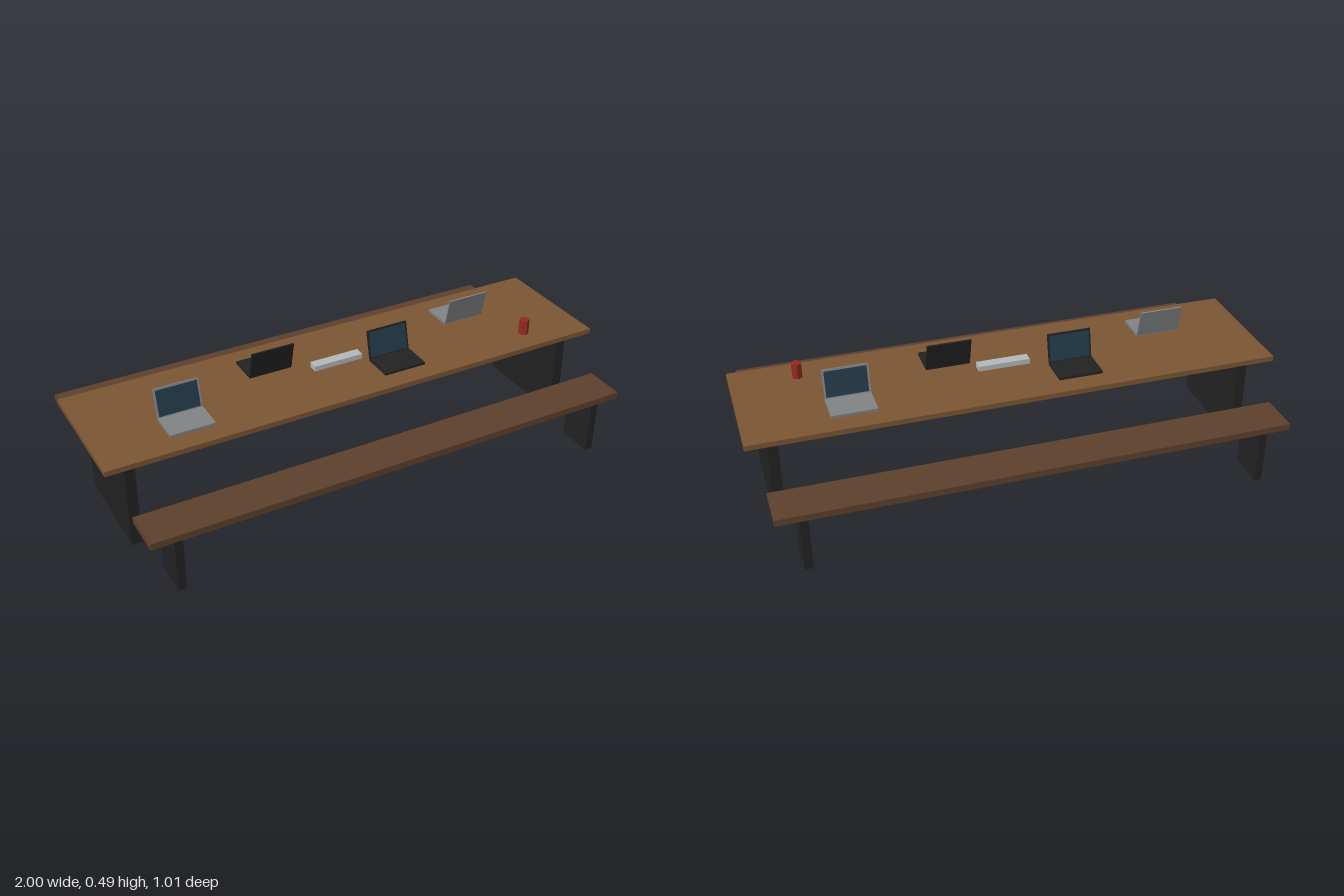
import * as THREE from 'three';

const mat = (name, color) => {
  const m = new THREE.MeshStandardMaterial({ color });
  m.name = name;
  return m;
};

export function createModel() {
  const oak = mat('oak brown', 0x7b5533);
  const walnut = mat('dark brown', 0x5c402c);
  const black = mat('black', 0x222222);
  const grey = mat('grey', 0x808285);
  const glass = mat('screen blue', 0x223a48);
  const pale = mat('pale grey', 0xb4b8ba);
  const red = mat('red', 0x972a20);

  const model = new THREE.Group();
  model.name = 'meetingTable';

  const box = (parent, name, material, size, pos) => {
    const mesh = new THREE.Mesh(new THREE.BoxGeometry(...size), material);
    mesh.name = name;
    mesh.position.set(...pos);
    parent.add(mesh);
    return mesh;
  };

  // Table with two slab legs
  box(model, 'tableTop', oak, [2, 0.02, 0.5], [0, 0.366, 0]);
  for (const s of [-1, 1]) box(model, 'tableLeg', black, [0.04, 0.356, 0.4], [s * 0.9, 0.178, 0]);

  // A bench on each long side
  for (const side of [-1, 1]) {
    const bench = new THREE.Group();
    bench.name = 'bench';
    bench.position.z = side * 0.425;
    box(bench, 'benchSeat', walnut, [1.9, 0.025, 0.16], [0, 0.2245, 0]);
    for (const s of [-1, 1]) box(bench, 'benchLeg', black, [0.03, 0.212, 0.14], [s * 0.85, 0.106, 0]);
    model.add(bench);
  }

  // Open laptops, alternately facing the two benches
  const addLaptop = (x, body, facing) => {
    const laptop = new THREE.Group();
    laptop.name = 'laptop';
    laptop.position.set(x, 0.376, 0);
    laptop.rotation.y = facing > 0 ? 0 : Math.PI;
    box(laptop, 'laptopBase', body, [0.17, 0.01, 0.12], [0, 0.005, 0.11]);
    const lid = new THREE.Group();
    lid.name = 'laptopLid';
    lid.position.set(0, 0.006, 0.05);
    lid.rotation.x = -0.23;
    box(lid, 'lidPanel', body, [0.17, 0.113, 0.006], [0, 0.0565, 0]);
    box(lid, 'screen', glass, [0.156, 0.098, 0.001], [0, 0.0565, 0.0034]);
    laptop.add(lid);
    model.add(laptop);
  };
  addLaptop(-0.65, grey, 1);
  addLaptop(-0.25, black, -1);
  addLaptop(0.2, black, 1);
  addLaptop(0.6, grey, -1);

  // Power strip in the middle
  box(model, 'powerStrip', pale, [0.2, 0.02, 0.04], [0, 0.386, 0]);

  // Six-sided mug
  const mugGeometry = new THREE.CylinderGeometry(0.02, 0.02, 0.06, 6).toNonIndexed();
  mugGeometry.computeVertexNormals();
  const mug = new THREE.Mesh(mugGeometry, red);
  mug.name = 'mug';
  mug.position.set(0.75, 0.406, 0.15);
  model.add(mug);

  return model;
}
